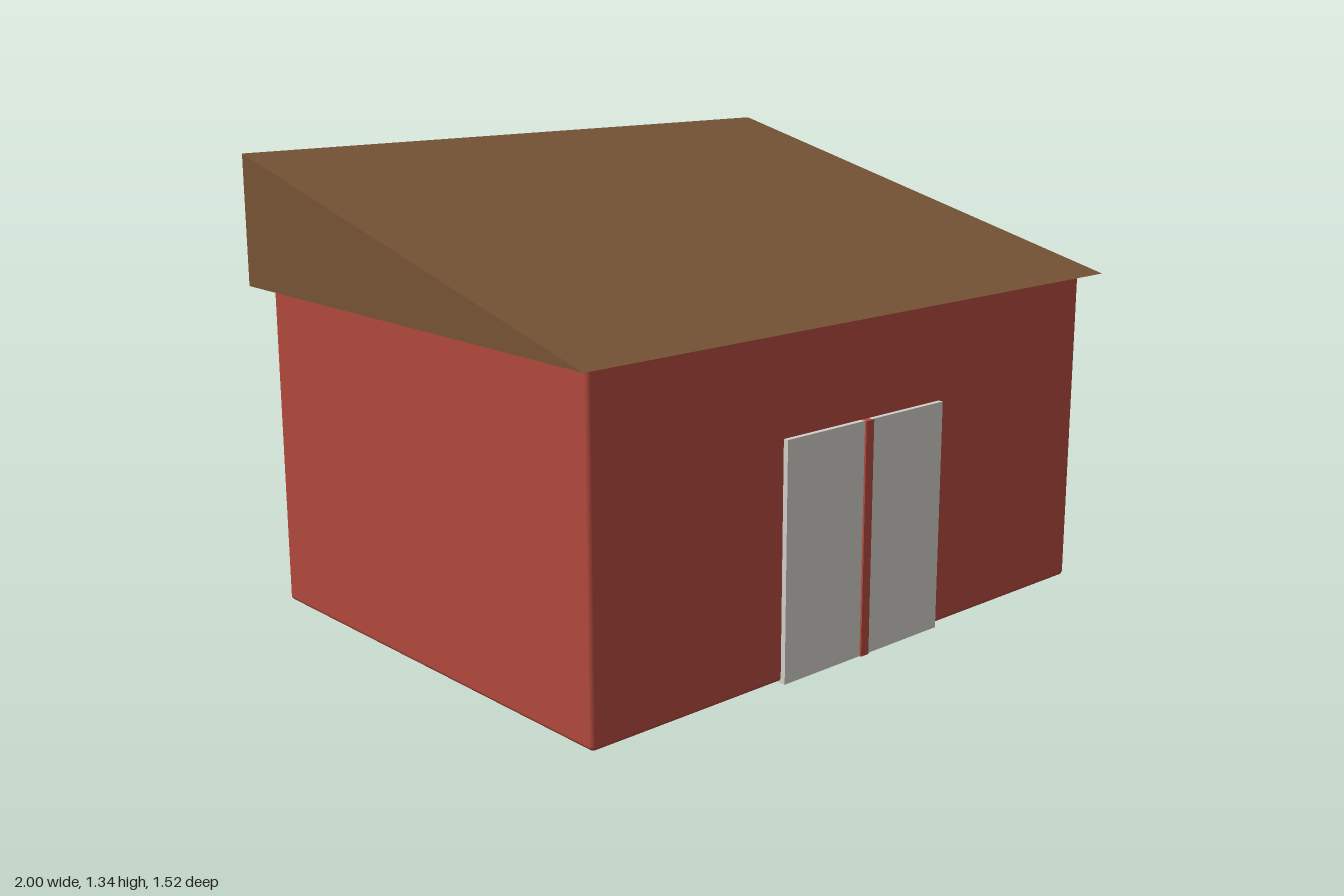
import * as THREE from 'three';
import { RoundedBoxGeometry } from 'three/addons/geometries/RoundedBoxGeometry.js';

const material = (name, color) => {
  const m = new THREE.MeshStandardMaterial({ color });
  m.name = name;
  return m;
};

export function createModel() {
  const red = material('wallRed', 0xb34a3e);
  const brown = material('roofBrown', 0x785436);
  const grey = material('doorGrey', 0xd2d0ca);

  const group = new THREE.Group();
  group.name = 'shed';
  const add = (name, geometry, mat, x = 0, y = 0, z = 0) => {
    const mesh = new THREE.Mesh(geometry, mat);
    mesh.name = name;
    mesh.position.set(x, y, z);
    group.add(mesh);
  };

  // Walls: one block with slightly softened edges
  const wallTop = 0.955;
  add('walls', new RoundedBoxGeometry(1.9, wallTop - 0.003, 1.43, 3, 0.014), red, 0, (wallTop + 0.003) / 2, 0);

  // Lean-to roof: wedge rising from the front eave to the back
  const profile = new THREE.Shape([
    new THREE.Vector2(-0.762, wallTop),
    new THREE.Vector2(0.762, wallTop),
    new THREE.Vector2(0.762, 1.335),
  ]);
  const wedge = new THREE.ExtrudeGeometry(profile, { depth: 2, bevelEnabled: false });
  wedge.translate(0, 0, -1).rotateY(Math.PI / 2); // profile x becomes -z
  add('roof', wedge, brown);

  // Double door: two leaves with a narrow post between them
  const doorHeight = 0.668;
  for (const side of [-1, 1]) {
    add(side > 0 ? 'leftDoor' : 'rightDoor', new THREE.BoxGeometry(0.294, doorHeight, 0.03),
      grey, side * 0.161, doorHeight / 2, 0.715);
  }
  add('doorPost', new THREE.BoxGeometry(0.03, doorHeight, 0.04), red, 0, doorHeight / 2, 0.716);

  return group;
}
